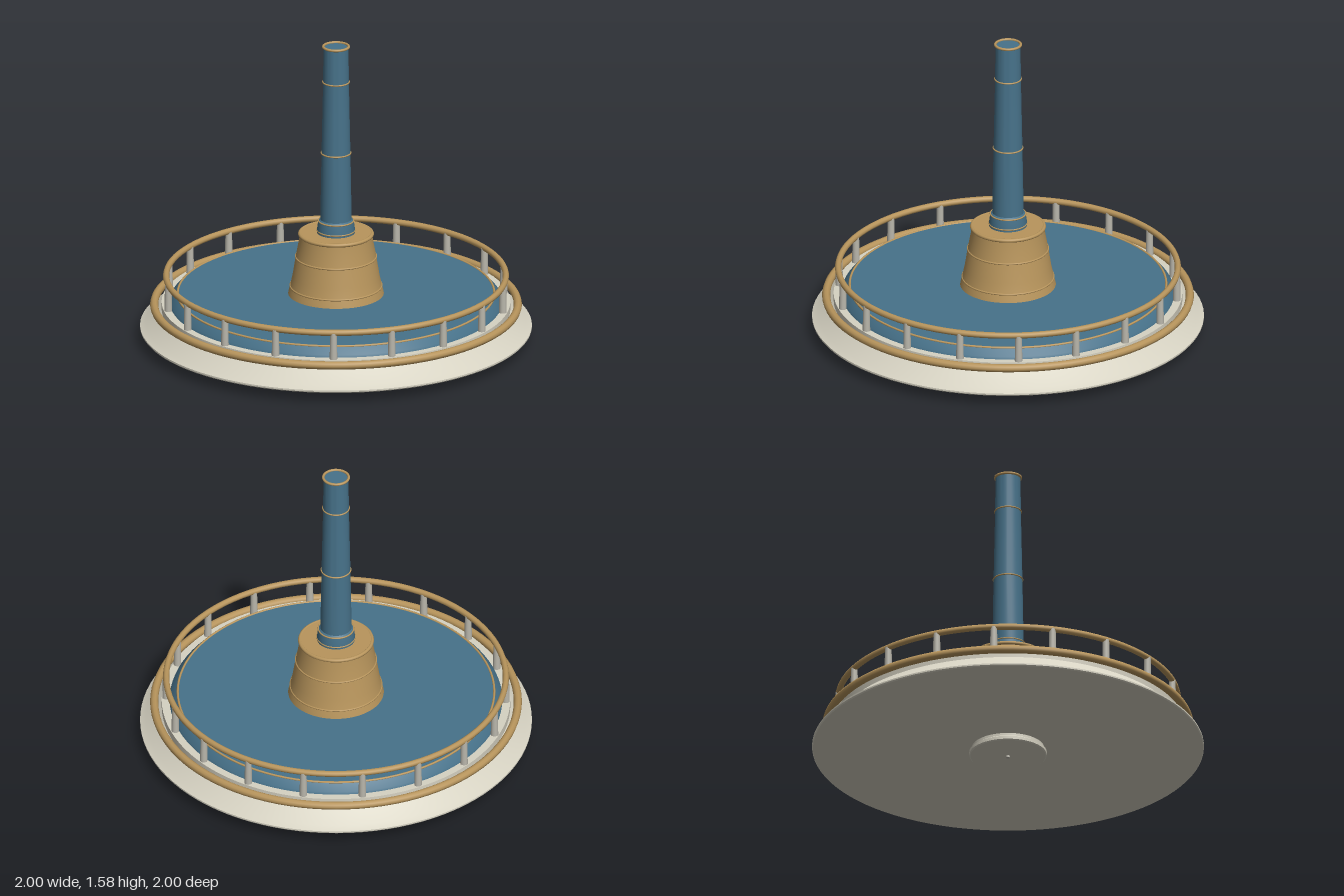
import * as THREE from 'three';
import { toCreasedNormals } from 'three/addons/utils/BufferGeometryUtils.js';

function material(name, color) {
  const m = new THREE.MeshStandardMaterial({ color });
  m.name = name;
  return m;
}

export function createModel() {
  const group = new THREE.Group();
  const ivory = material('ivory', 0xd6d2c2);
  const silver = material('silver', 0xb9b6ab);
  const gold = material('gold', 0xb8955c);
  const blue = material('blue', 0x47728a);

  function add(name, geometry, mat) {
    const mesh = new THREE.Mesh(geometry, mat);
    mesh.name = name;
    group.add(mesh);
    return mesh;
  }
  // Turned part: profile of [radius, height] from bottom to top
  function turned(name, profile, mat, sides = 64) {
    const points = profile.map(([r, y]) => new THREE.Vector2(r, y));
    return add(name, toCreasedNormals(new THREE.LatheGeometry(points, sides), 0.45), mat);
  }
  // Horizontal ring
  function ring(name, radius, y, tube, mat, sides = 64) {
    const geometry = new THREE.TorusGeometry(radius, tube, 10, sides);
    return add(name, geometry.rotateX(Math.PI / 2).translate(0, y, 0), mat);
  }

  // Bottom hub and pivot
  turned('pivot', [[0, 0], [0.01, 0.003], [0.01, 0.02]], silver, 16);
  turned('bottomHub', [[0, 0.013], [0.192, 0.013], [0.198, 0.018], [0.198, 0.034],
    [0.186, 0.042], [0.186, 0.058]], ivory);

  // Sloping base with its rim
  turned('base', [[0, 0.056], [0.995, 0.056], [1, 0.062], [1, 0.07], [0.97, 0.086],
    [0.89, 0.155], [0.89, 0.195], [0, 0.195]], ivory, 96);
  ring('baseRim', 0.928, 0.181, 0.021, gold, 96);

  // Raised deck
  turned('deck', [[0.85, 0.193], [0.845, 0.207], [0.81, 0.243], [0, 0.243]], blue, 96);
  ring('deckTrim', 0.808, 0.242, 0.006, gold, 96);

  // Railing
  const railRadius = 0.867;
  const postCount = 18;
  const postGeometry = new THREE.CylinderGeometry(0.017, 0.02, 0.145, 12);
  for (let i = 0; i < postCount; i++) {
    const a = (i / postCount) * Math.PI * 2;
    add('railPost', postGeometry, silver)
      .position.set(Math.sin(a) * railRadius, 0.262, Math.cos(a) * railRadius);
  }
  ring('handrail', railRadius, 0.336, 0.016, gold, 96);

  // Tapered pedestal
  turned('pedestal', [[0.245, 0.24], [0.24, 0.262], [0.234, 0.285], [0.222, 0.34],
    [0.206, 0.44], [0.183, 0.562], [0.183, 0.572], [0, 0.572]], gold);
  ring('pedestalBand', 0.233, 0.285, 0.005, gold);
  ring('pedestalBand', 0.205, 0.442, 0.005, gold);
  ring('pedestalLip', 0.184, 0.564, 0.01, gold);

  // Column with collar
  turned('column', [[0.097, 0.57], [0.097, 0.59], [0.091, 0.635], [0.08, 0.645],
    [0.074, 1.0], [0.066, 1.385], [0.064, 1.575], [0, 1.575]], blue, 48);
  const bands = [[0.096, 0.584], [0.09, 0.636], [0.075, 1.003], [0.067, 1.387]];
  for (const [r, y] of bands) ring('columnBand', r, y, 0.004, gold, 48);
  ring('columnTopRim', 0.065, 1.577, 0.007, gold, 48);

  return group;
}
